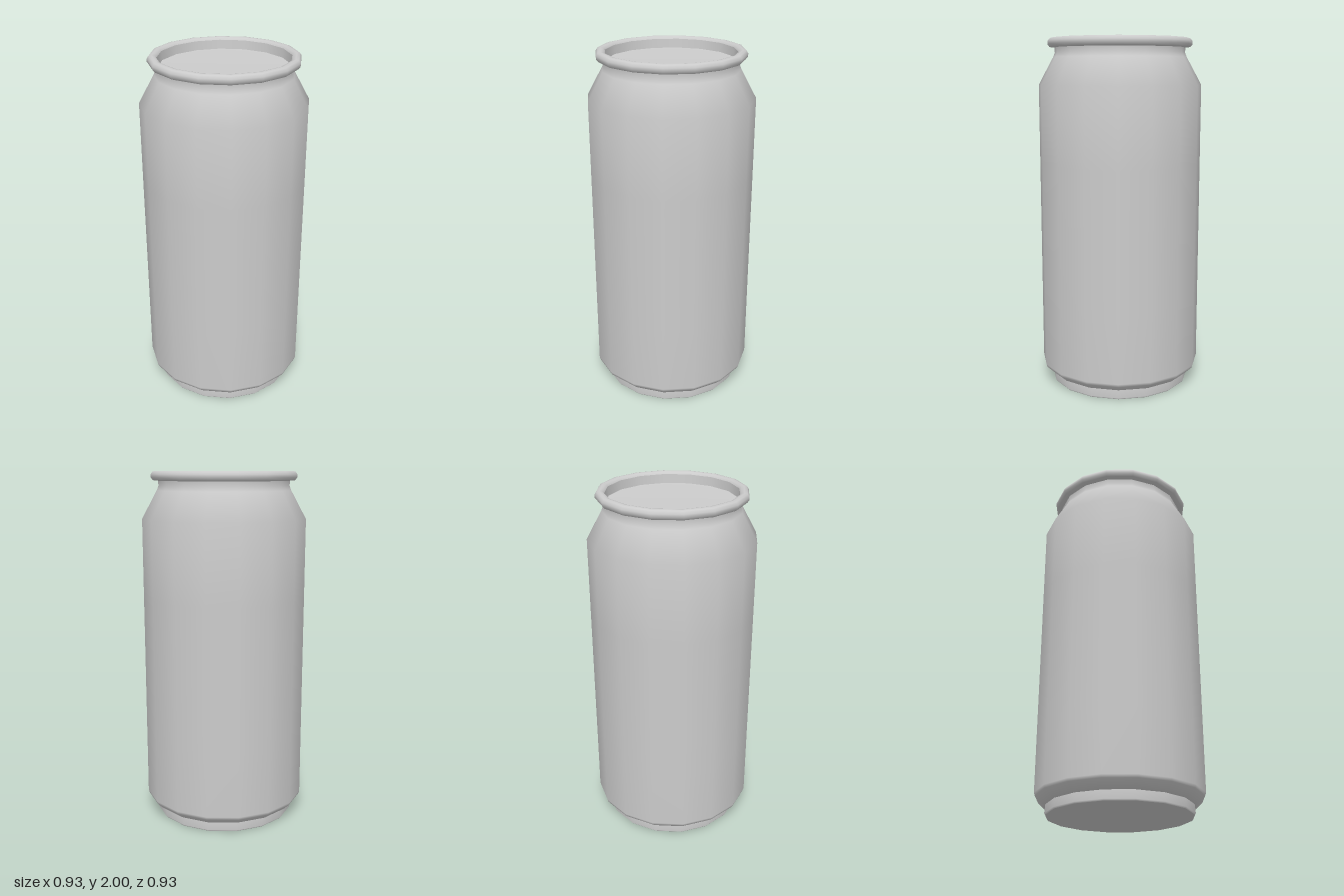
import * as THREE from 'three';

const SIDES = 16;

// Revolve a profile of [radius, height] pairs; bottom-to-top faces outward.
function turned(name, profile, material) {
  const points = profile.map(([r, y]) => new THREE.Vector2(r, y));
  const mesh = new THREE.Mesh(new THREE.LatheGeometry(points, SIDES), material);
  mesh.name = name;
  return mesh;
}

export function createModel() {
  const can = new THREE.Group();
  can.name = 'drinkCan';
  const metal = new THREE.MeshStandardMaterial({ color: 0xcccccc });

  // Flat underside
  can.add(turned('base', [[0, 0.01], [0.34, 0.005], [0.4, 0]], metal));

  // Narrow foot below the wall
  can.add(turned('foot', [[0.4, 0], [0.406, 0.008], [0.402, 0.055]], metal));

  // Flare, straight wall and tapered shoulder
  can.add(turned('body', [
    [0.402, 0.055], [0.425, 0.065], [0.46, 0.098], [0.465, 0.115], [0.465, 0.5],
    [0.465, 1.3], [0.465, 1.74], [0.38, 1.895], [0.37, 1.92], [0.372, 1.947],
  ], metal));

  // Rolled rim around the top
  can.add(turned('rim', [
    [0.372, 1.947], [0.4, 1.95], [0.412, 1.965], [0.412, 1.982],
    [0.402, 1.997], [0.386, 2], [0.37, 1.997], [0.362, 1.985],
  ], metal));

  // Inner wall of the rim and the sunken lid
  can.add(turned('rimInnerWall', [[0.362, 1.985], [0.358, 1.935]], metal));
  can.add(turned('lid', [[0.358, 1.935], [0.3, 1.932], [0, 1.932]], metal));

  return can;
}
